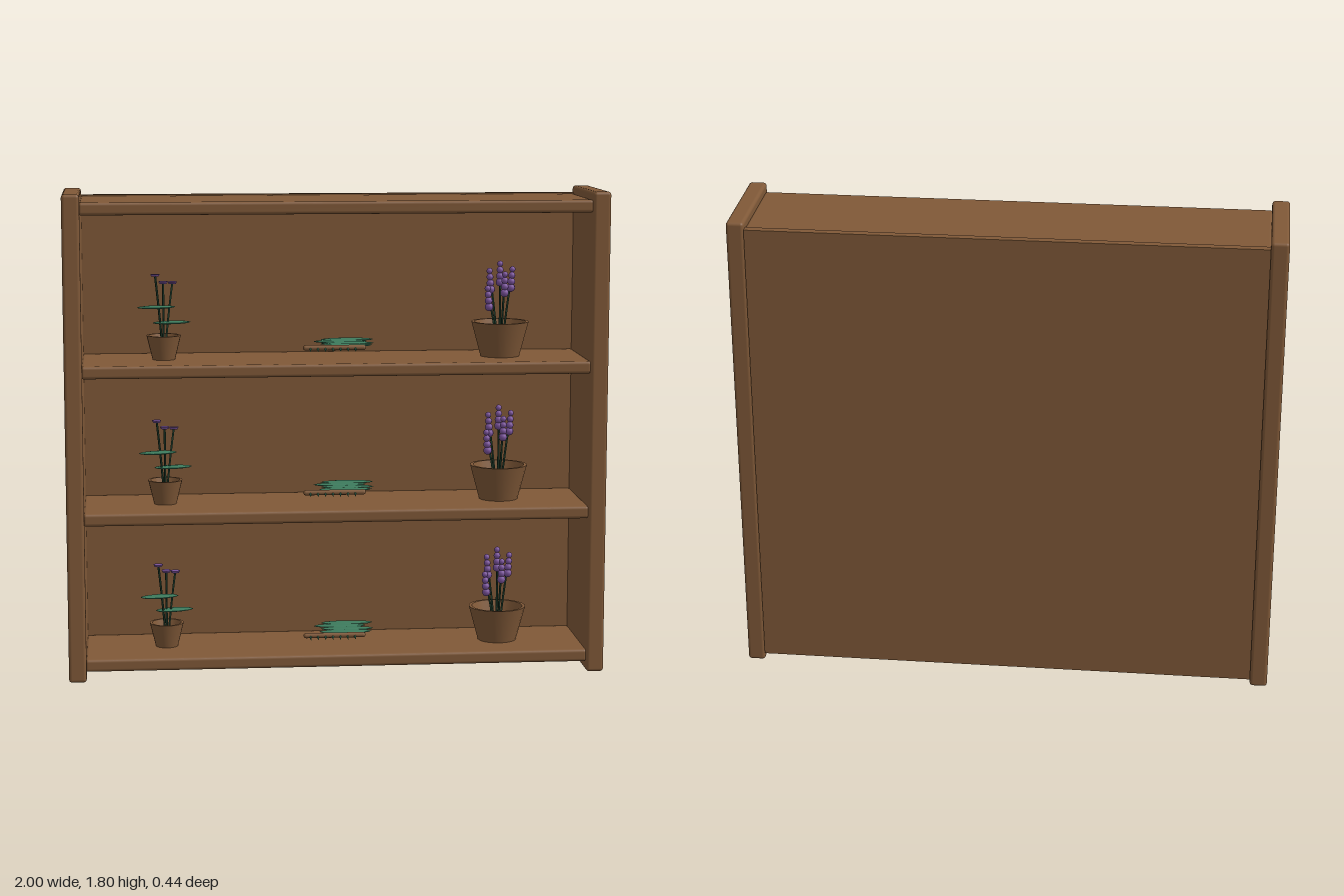
import * as THREE from 'three';
import { RoundedBoxGeometry } from 'three/addons/geometries/RoundedBoxGeometry.js';

const material = (name, color) => Object.assign(new THREE.MeshStandardMaterial({ color }), { name });

export function createModel() {
  const wood = material('wood', 0x805938);
  const leafGreen = material('leaf green', 0x3c7a5c);
  const stemGreen = material('stem green', 0x1f3d2c);
  const purple = material('purple', 0x7a539c);
  const model = new THREE.Group();
  model.name = 'plantShelf';

  const add = (parent, name, geometry, mat, x = 0, y = 0, z = 0) => {
    const mesh = new THREE.Mesh(geometry, mat);
    mesh.name = name;
    mesh.position.set(x, y, z);
    parent.add(mesh);
    return mesh;
  };
  const group = (parent, name, x, y, z) => {
    const g = new THREE.Group();
    g.name = name;
    g.position.set(x, y, z);
    parent.add(g);
    return g;
  };
  const board = (name, w, h, d, x, y, z) =>
    add(model, name, new RoundedBoxGeometry(w, h, d, 3, 0.012), wood, x, y, z);

  // Case: sides, back and four shelves
  for (const s of [-1, 1]) board(s > 0 ? 'leftSide' : 'rightSide', 0.065, 1.8, 0.44, s * 0.9675, 0.9, 0);
  add(model, 'backPanel', new THREE.BoxGeometry(1.87, 1.745, 0.03), wood, 0, 0.9025, -0.205);
  const shelfTops = [0.082, 0.63, 1.175, 1.77];
  for (const top of shelfTops) board('shelf', 1.88, 0.047, 0.395, 0, top - 0.0235, 0.003);

  // Open tapered pot with a wall thickness
  const pot = (parent, bottom, rim, h, wall) => add(parent, 'pot', new THREE.LatheGeometry([
    [0, 0], [bottom, 0], [bottom, 0], [rim, h], [rim, h], [rim - wall, h], [rim - wall, h],
    [bottom - wall, wall], [bottom - wall, wall], [0, wall],
  ].map(([r, y]) => new THREE.Vector2(r, y)), 24), wood);

  // Slightly bowed stem between two points
  const stem = (parent, from, to) => {
    const a = new THREE.Vector3(...from), b = new THREE.Vector3(...to);
    const mid = a.clone().lerp(b, 0.5).add(new THREE.Vector3((a.x - b.x) * 0.12, 0, 0));
    const curve = new THREE.QuadraticBezierCurve3(a, mid, b);
    add(parent, 'stem', new THREE.TubeGeometry(curve, 6, 0.004, 6), stemGreen);
  };

  // Flattened ellipsoid leaf lying along x
  const leaf = (parent, length, width, x, y, z, turn = 0) => {
    const m = add(parent, 'leaf', new THREE.SphereGeometry(1, 16, 8), leafGreen, x, y, z);
    m.scale.set(length / 2, 0.006, width / 2);
    m.rotation.y = turn;
  };

  // Lavender: fanned stems with spikes of round blossoms
  const spikes = [[0, 0.36, -0.01], [-0.042, 0.335, 0.005], [0.045, 0.34, 0], [-0.05, 0.27, 0.015], [0.01, 0.325, 0.045]];
  const lavender = (y) => {
    const g = group(model, 'lavender', 0.627, y, 0);
    pot(g, 0.073, 0.108, 0.13, 0.012);
    for (const [x, top, z] of spikes) {
      stem(g, [x * 0.15, 0.012, z * 0.15], [x, top - 0.02, z]);
      for (let i = 0; i < 4; i++) {
        add(g, 'blossom', new THREE.SphereGeometry(0.0145 - (3 - i) * -0.0005 - i * 0.001, 10, 8), purple,
          x * (1 - (3 - i) * 0.04), top - 0.015 - (3 - i) * 0.023, z);
      }
    }
  };

  // Small potted flower with flat leaves
  const flower = (y) => {
    const g = group(model, 'pottedFlower', -0.634, y, 0);
    pot(g, 0.042, 0.064, 0.09, 0.009);
    for (const [x, h, z] of [[-0.03, 0.315, 0.025], [0, 0.285, -0.01], [0.034, 0.285, 0]]) {
      stem(g, [x * 0.1, 0.01, z * 0.1], [x, h, z]);
      add(g, 'flowerHead', new THREE.CylinderGeometry(0.018, 0.014, 0.008, 10), purple, x, h, z);
    }
    leaf(g, 0.145, 0.06, -0.027, 0.198, 0.035, 0.2);
    leaf(g, 0.145, 0.06, 0.03, 0.136, -0.01, 0.2);
  };

  // Loose leaves beside a stick with short sprouts
  const cutting = (y) => {
    const g = group(model, 'cutting', 0, y, 0);
    [[0.055, -0.06], [0.025, -0.025], [0.05, 0.01], [0.04, 0.045]].forEach(([x, z], i) =>
      leaf(g, 0.2, 0.05, x, 0.06 - i * 0.003, z));
    const stick = add(g, 'stick', new THREE.CapsuleGeometry(0.01, 0.215, 4, 10), wood, -0.004, 0.047, 0.085);
    stick.rotation.z = Math.PI / 2;
    for (let i = 0; i < 7; i++) {
      const sprout = add(g, 'sprout', new THREE.ConeGeometry(0.006, 0.03, 6), leafGreen, -0.095 + i * 0.028, 0.04, 0.1);
      sprout.rotation.x = 2;
    }
  };

  for (const y of shelfTops.slice(0, 3)) {
    lavender(y);
    flower(y);
    cutting(y);
  }
  return model;
}
